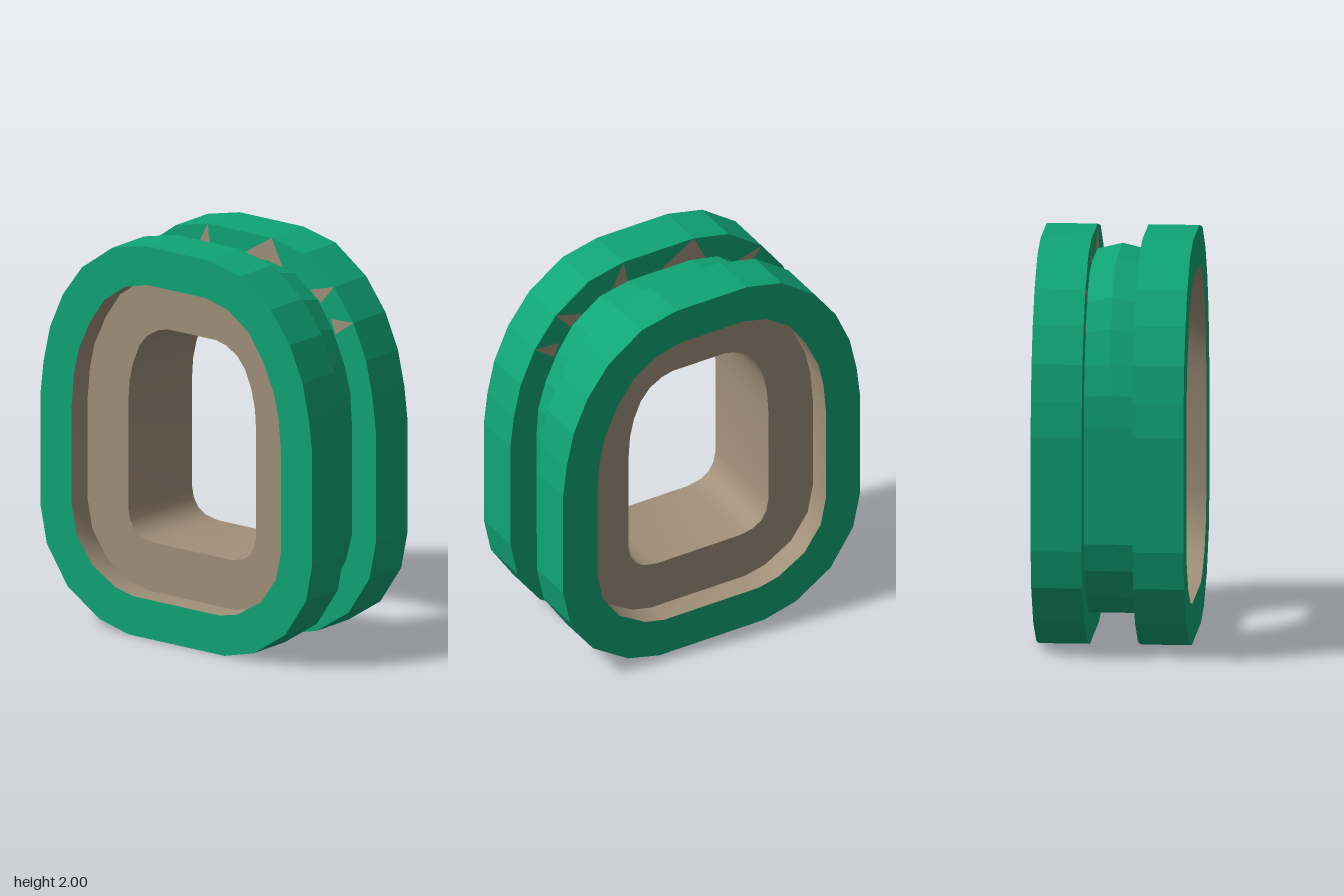
import * as THREE from 'three';
import { toCreasedNormals } from 'three/addons/utils/BufferGeometryUtils.js';

// Right halves of the closed outlines, listed from top to bottom
const RIM = [[0.2, 2], [0.4, 1.955], [0.59, 1.82], [0.71, 1.66], [0.79, 1.48], [0.83, 1.3], [0.85, 1.13],
  [0.85, 0.56], [0.81, 0.37], [0.68, 0.175], [0.48, 0.045], [0.3, 0]];
const GROOVE = [[0.18, 1.91], [0.34, 1.875], [0.49, 1.765], [0.58, 1.625], [0.65, 1.46], [0.69, 1.31], [0.7, 1.15],
  [0.7, 0.57], [0.66, 0.43], [0.56, 0.28], [0.4, 0.18], [0.29, 0.155]];
const RECESS = [[0.18, 1.805], [0.32, 1.77], [0.45, 1.68], [0.54, 1.55], [0.61, 1.4], [0.64, 1.27], [0.655, 1.1],
  [0.655, 0.6], [0.625, 0.45], [0.53, 0.315], [0.38, 0.225], [0.27, 0.2]];
const OPENING = [[0.15, 1.555], [0.21, 1.54], [0.28, 1.5], [0.33, 1.44], [0.37, 1.345], [0.392, 1.25], [0.4, 1.13],
  [0.4, 0.6], [0.388, 0.54], [0.36, 0.495], [0.315, 0.465], [0.24, 0.45]];

// Full counter-clockwise outline from its right half
const outline = (half) => [
  ...half.map(([x, y]) => [-x, y]),
  ...[...half].reverse(),
];

// Wall through a series of [outline, z] rings; rising z faces outward, falling z inward
function wall(rings, smooth = false) {
  const pos = [];
  for (let r = 0; r < rings.length - 1; r++) {
    const [a, za] = rings[r];
    const [b, zb] = rings[r + 1];
    for (let i = 0; i < a.length; i++) {
      const j = (i + 1) % a.length;
      const p = [...a[i], za], q = [...a[j], za], s = [...b[j], zb], t = [...b[i], zb];
      pos.push(...p, ...q, ...s, ...p, ...s, ...t);
    }
  }
  const g = new THREE.BufferGeometry();
  g.setAttribute('position', new THREE.Float32BufferAttribute(pos, 3));
  g.computeVertexNormals();
  return smooth ? toCreasedNormals(g, 0.7) : g;
}

const toVectors = (pts) => pts.map(([x, y]) => new THREE.Vector2(x, y));

// Flat ring between two outlines
function ringFace(outer, inner) {
  const shape = new THREE.Shape(toVectors(outer));
  shape.holes.push(new THREE.Path(toVectors(inner)));
  return new THREE.ShapeGeometry(shape);
}

export function createModel() {
  const model = new THREE.Group();
  const green = new THREE.MeshStandardMaterial({ color: 0x10a575 });
  green.name = 'green';
  const brown = new THREE.MeshStandardMaterial({ color: 0xa1907a });
  brown.name = 'taupe';

  const add = (parent, name, geometry, material, z = 0, back = false) => {
    const mesh = new THREE.Mesh(geometry, material);
    mesh.name = name;
    mesh.position.z = z;
    if (back) mesh.rotation.y = Math.PI;
    parent.add(mesh);
    return mesh;
  };

  const rim = outline(RIM), recess = outline(RECESS), opening = outline(OPENING);
  const crown = outline(GROOVE);
  // The crown of the groove floor drops toward both sides near the top only
  const shoulder = crown.map(([x, y]) => [x, y - 0.03 * THREE.MathUtils.clamp((y - 1.2) / 0.5, 0, 1)]);

  // Small chips on the inner flange walls
  const chips = [
    [[-0.2, 2], [-0.27, 1.865], [-0.18, 1.865]],
    [[0.2, 2], [-0.01, 1.87], [0.27, 1.86]],
  ];
  for (const s of [1, -1]) {
    chips.push(
      [[0.59 * s, 1.82], [0.44 * s, 1.78], [0.507 * s, 1.725]],
      [[0.71 * s, 1.66], [0.573 * s, 1.655], [0.6 * s, 1.58]],
    );
  }
  const chipGeometry = new THREE.ShapeGeometry(chips.map((c) => new THREE.Shape(toVectors(c))));

  // Two identical halves, the second turned half a circle
  for (const side of ['front', 'back']) {
    const half = new THREE.Group();
    half.name = side + 'Half';
    if (side === 'back') half.rotation.y = Math.PI;
    add(half, 'flangeRim', wall([[rim, 0.125], [rim, 0.375]]), green);
    add(half, 'flangeFace', ringFace(rim, recess), green, 0.375);
    add(half, 'flangeInnerFace', ringFace(rim, recess), green, 0.125, true);
    add(half, 'recessWall', wall([[recess, 0.375], [recess, 0.25]], true), brown);
    add(half, 'liningFace', ringFace(recess, opening), brown, 0.25);
    add(half, 'flangeChips', chipGeometry, brown, 0.123, true);
    model.add(half);
  }

  // Groove floor and the opening through the middle
  add(model, 'grooveFloor', wall([[shoulder, -0.125], [crown, 0], [shoulder, 0.125]]), green);
  add(model, 'openingWall', wall([[opening, 0.25], [opening, -0.25]], true), brown);
  return model;
}
